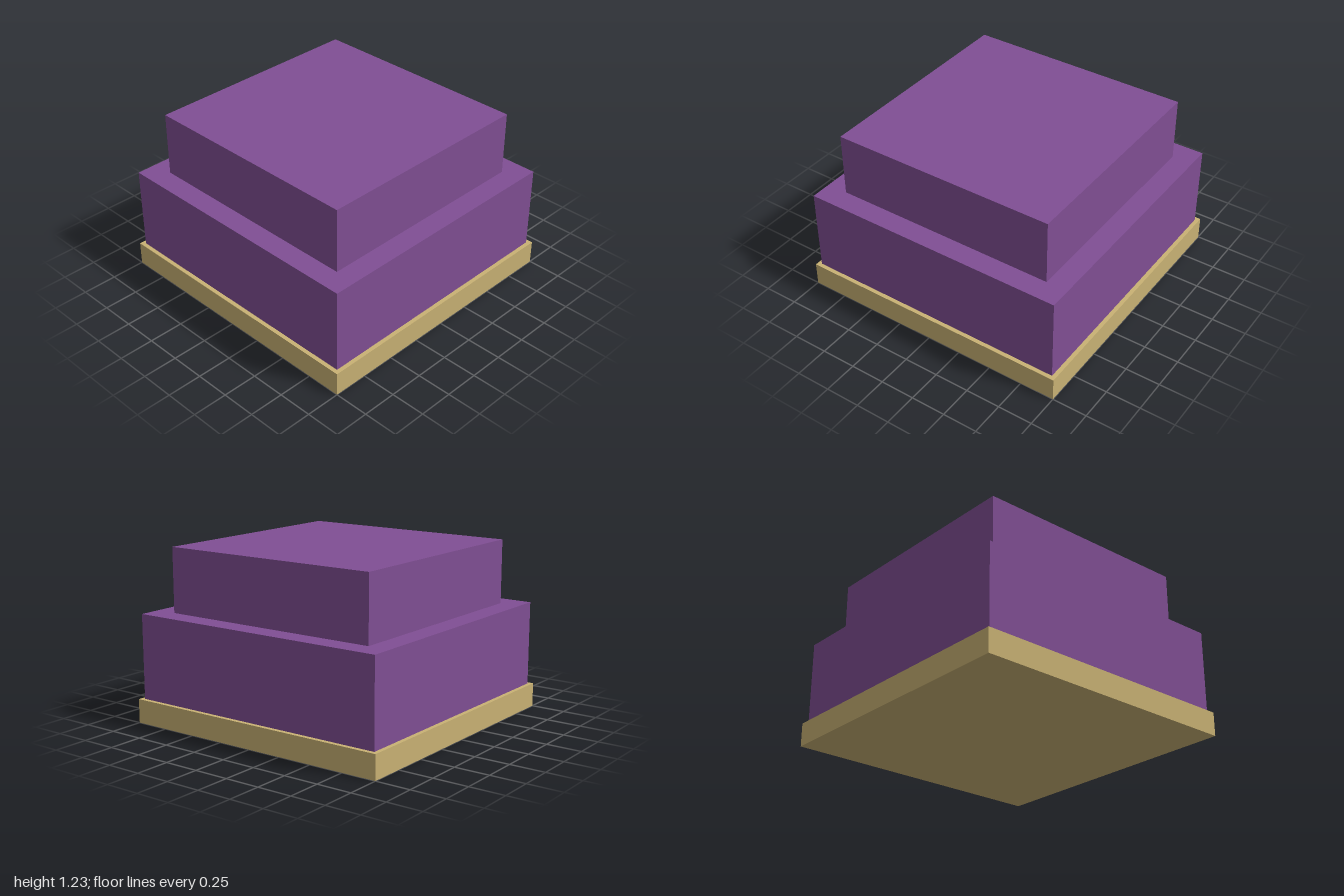
import * as THREE from 'three';

export function createModel() {
  const model = new THREE.Group();
  model.name = 'steppedBlock';

  const tan = new THREE.MeshStandardMaterial({ color: 0xc9b274 });
  tan.name = 'tan';
  const purple = new THREE.MeshStandardMaterial({ color: 0x804f94 });
  purple.name = 'purple';

  // Square tier spanning two heights
  function addTier(name, width, bottom, top, material) {
    const mesh = new THREE.Mesh(new THREE.BoxGeometry(width, top - bottom, width), material);
    mesh.name = name;
    mesh.position.y = (bottom + top) / 2;
    model.add(mesh);
  }

  addTier('basePlate', 2, 0, 0.17, tan);
  addTier('lowerTier', 1.94, 0.17, 0.772, purple);
  addTier('upperTier', 1.63, 0.772, 1.23, purple);

  return model;
}
